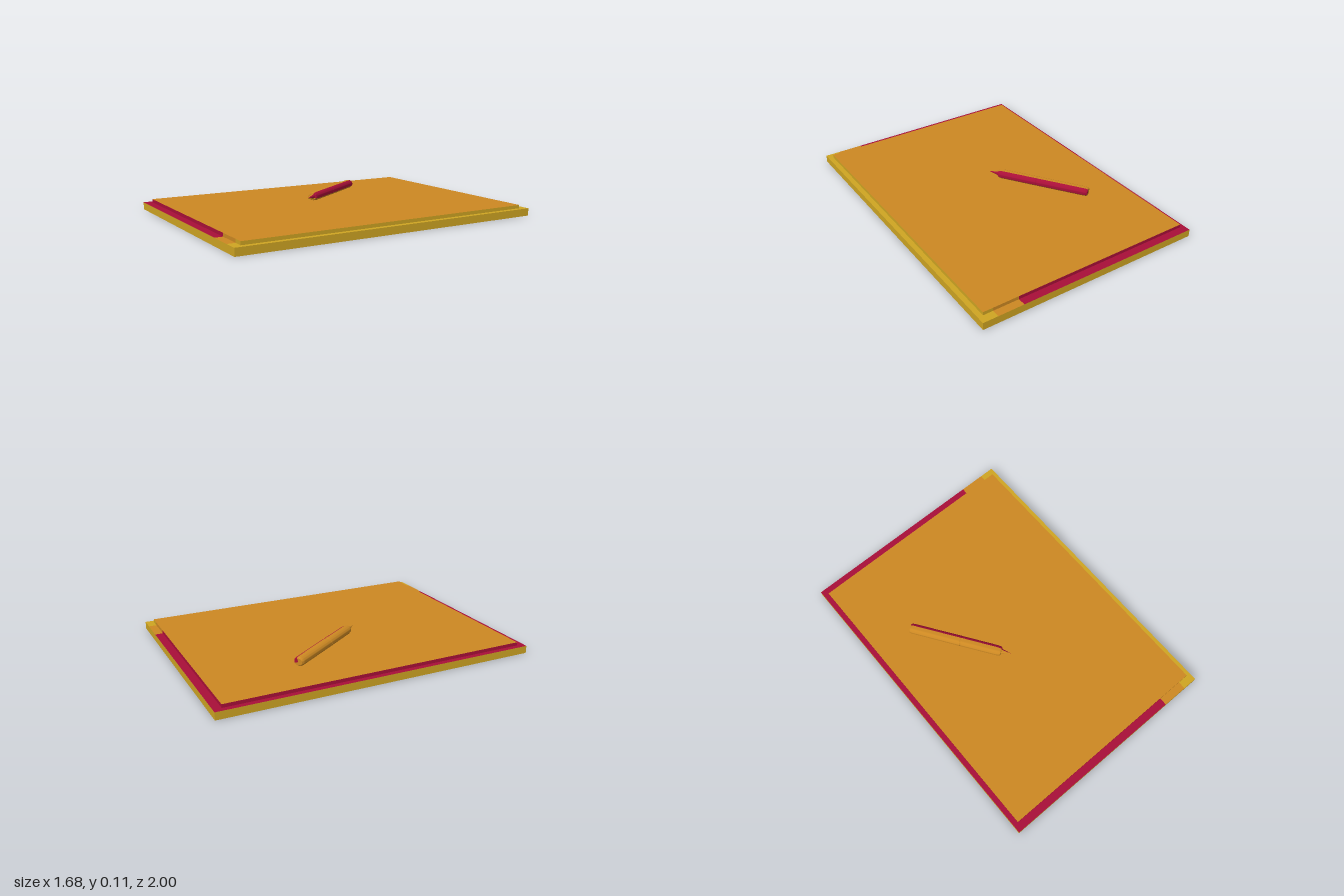
import * as THREE from 'three';
import { toCreasedNormals } from 'three/addons/utils/BufferGeometryUtils.js';

const paint = (name, color) => {
  const m = new THREE.MeshStandardMaterial({ color });
  m.name = name;
  return m;
};

export function createModel() {
  const orange = paint('orange', 0xcc8822);
  const gold = paint('gold', 0xcea422);
  const red = paint('crimson', 0xa80f38);

  const group = new THREE.Group();
  group.name = 'notebookWithPen';

  // Book turned on the ground, built as strips across its width
  const book = new THREE.Group();
  book.name = 'notebook';
  book.rotation.y = -0.284;
  group.add(book);

  // faces: +x, -x, top, bottom, front, back
  function strip(name, u0, u1, y0, y1, depth, materials) {
    const mesh = new THREE.Mesh(new THREE.BoxGeometry(u1 - u0, y1 - y0, depth), materials);
    mesh.position.set((u0 + u1) / 2, (y0 + y1) / 2, 0);
    mesh.name = name;
    book.add(mesh);
  }

  const cuts = [0.405, 0.545];
  const bands = [['main', red, orange], ['middle', orange, orange], ['edge', gold, gold]];
  bands.forEach(([label, color, under], i) => {
    const range = (half) => [[-half, ...cuts][i], [...cuts, half][i]];
    // Cover with banded top face
    strip(label + 'Cover', ...range(0.625), 0, 0.04, 1.718, [gold, gold, color, under, gold, gold]);
    // Raised page block with banded rim
    strip(label + 'Pages', ...range(0.598), 0.04, 0.058, 1.634, [color, color, orange, orange, color, color]);
  });

  // Pen: profile revolved about its length, in two coloured sectors
  const pen = new THREE.Group();
  pen.name = 'pen';
  pen.position.set(-0.182, 0.0825, -0.195);
  pen.rotation.y = 0.322;
  pen.scale.y = 0.85;
  group.add(pen);

  const profile = [
    [0, -0.258], [0.022, -0.258], [0.027, -0.252], [0.0285, -0.24],
    [0.029, 0.026], [0.0275, 0.028], [0.0275, 0.032], [0.029, 0.034],
    [0.0285, 0.235], [0.025, 0.254], [0.021, 0.258], [0.015, 0.258],
    [0.012, 0.27], [0.001, 0.313], [0, 0.313],
  ].map(([r, z]) => new THREE.Vector2(r, z));

  function sector(name, startDeg, sweepDeg, segments, material) {
    const rad = THREE.MathUtils.degToRad;
    let geo = new THREE.LatheGeometry(profile, segments, rad(startDeg), rad(sweepDeg));
    geo.rotateX(Math.PI / 2);
    geo = toCreasedNormals(geo, 0.6);
    const mesh = new THREE.Mesh(geo, material);
    mesh.name = name;
    pen.add(mesh);
  }
  sector('penStripe', 65, 95, 8, red);
  sector('penBody', 160, 265, 22, orange);

  return group;
}
